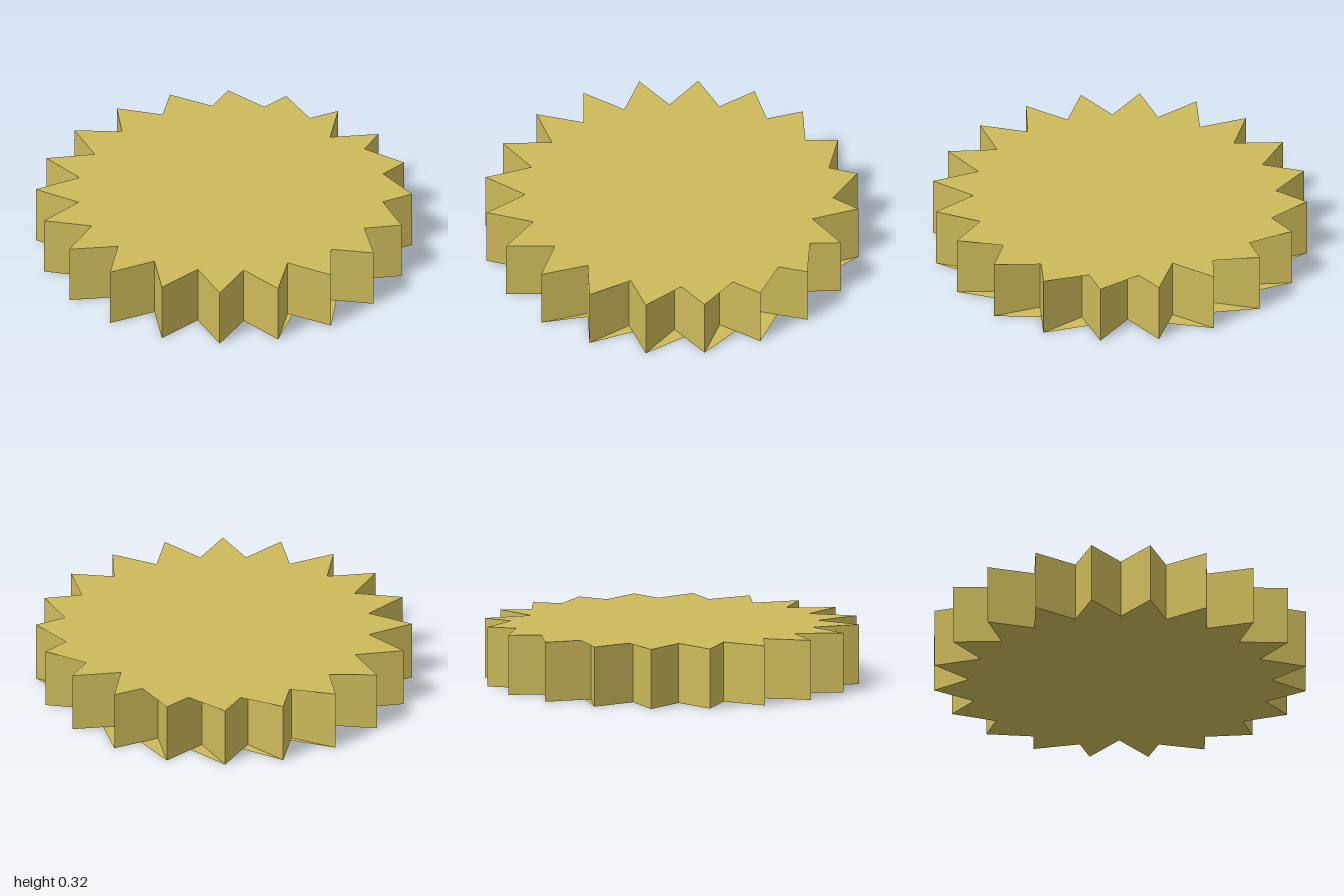
import * as THREE from 'three';

const TEETH = 20, COUNT = TEETH * 2;
const OUTER = 1, INNER = 0.78, HEIGHT = 0.32;

// Corner k of the toothed outline, starting at the back tip; even corners are tips.
function corner(k, y) {
  const a = (k * Math.PI) / TEETH;
  const r = k % 2 ? INNER : OUTER;
  return [r * Math.sin(a), y, -r * Math.cos(a)];
}

function flatMesh(name, triangles, material) {
  const geometry = new THREE.BufferGeometry();
  geometry.setAttribute('position', new THREE.Float32BufferAttribute(triangles.flat(), 3));
  geometry.computeVertexNormals();
  const mesh = new THREE.Mesh(geometry, material);
  mesh.name = name;
  return mesh;
}

// Cap made as a fan from one notch, which slightly webs over the neighbouring notches.
function capTriangles(hub, y, up) {
  const out = [];
  for (let i = 1; i < COUNT - 1; i++) {
    const a = corner((hub + i) % COUNT, y);
    const b = corner((hub + i + 1) % COUNT, y);
    out.push(corner(hub, y), ...(up ? [b, a] : [a, b]));
  }
  return out;
}

export function createModel() {
  const group = new THREE.Group();
  group.name = 'toothedDisc';
  // Double sided because the thin webs over the notches are seen from both sides
  const brass = new THREE.MeshStandardMaterial({ color: 0xccba5a, flatShading: true, side: THREE.DoubleSide });
  brass.name = 'brass';

  // Zigzag rim wall
  const wall = [];
  for (let k = 0; k < COUNT; k++) {
    const n = (k + 1) % COUNT;
    const b0 = corner(k, 0), b1 = corner(n, 0);
    const t0 = corner(k, HEIGHT), t1 = corner(n, HEIGHT);
    wall.push(b1, b0, t0, b1, t0, t1);
  }
  group.add(flatMesh('toothedRim', wall, brass));

  // Flat faces
  group.add(flatMesh('topFace', capTriangles(1, HEIGHT, true), brass));
  group.add(flatMesh('bottomFace', capTriangles(3, 0, false), brass));
  return group;
}
